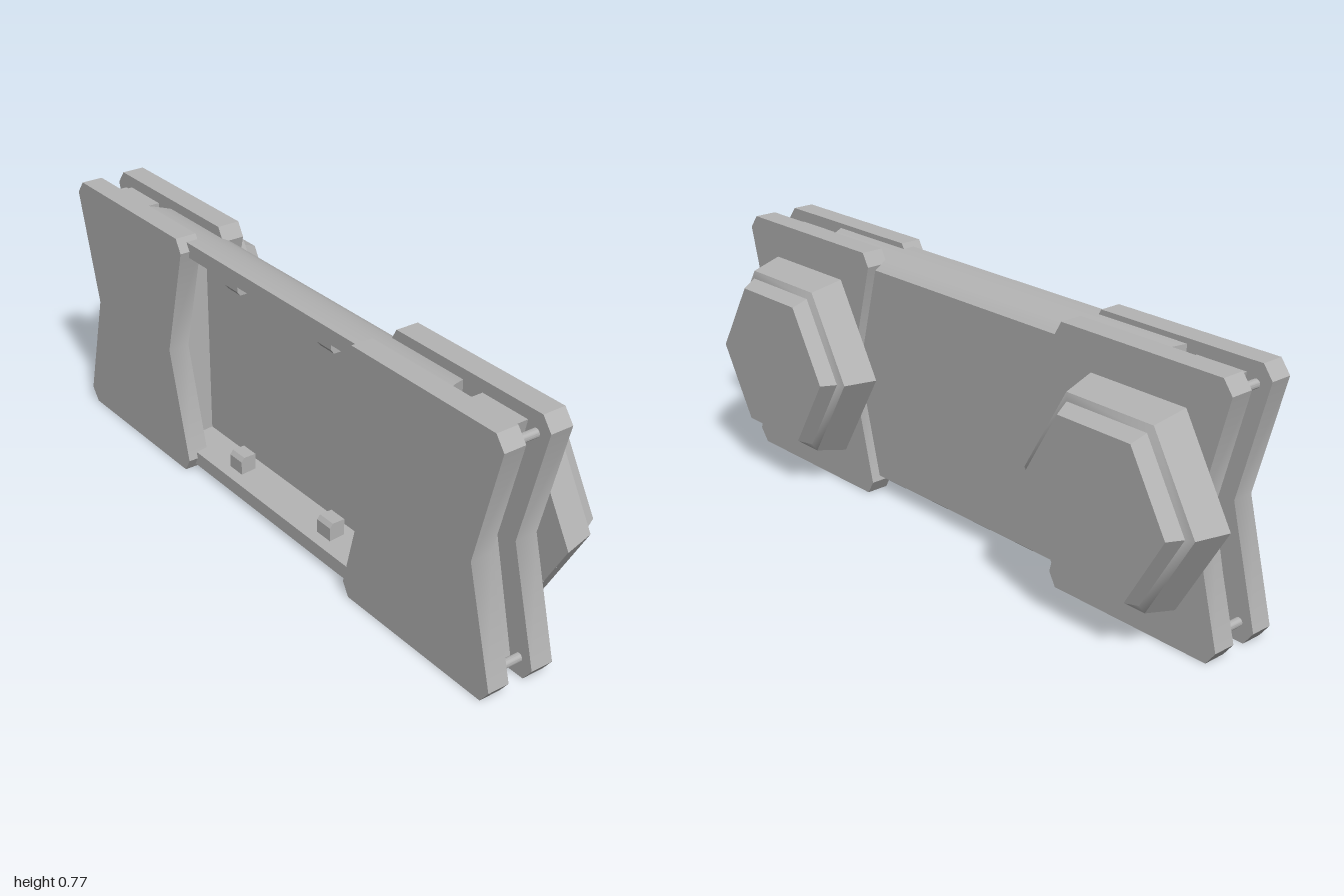
import * as THREE from 'three';
import { toCreasedNormals } from 'three/addons/utils/BufferGeometryUtils.js';

const MID = 0.385; // height of the horizontal symmetry plane
const CREASE = 0.62;

const grey = new THREE.MeshStandardMaterial({ color: 0xb4b4b4 });
grey.name = 'plain grey';

function extrude(points, depth) {
  const shape = new THREE.Shape(points.map(([x, y]) => new THREE.Vector2(x, y)));
  return new THREE.ExtrudeGeometry(shape, { depth, bevelEnabled: false });
}

function part(name, geometry, parent) {
  const mesh = new THREE.Mesh(toCreasedNormals(geometry, CREASE), grey);
  mesh.name = name;
  parent.add(mesh);
  return mesh;
}

// Extrude a (z, y) section along x from x0 to x1
function alongX(section, x0, x1) {
  const g = extrude(section.map(([z, y]) => [-z, y]), x1 - x0);
  g.rotateY(Math.PI / 2);
  g.translate(x0, 0, 0);
  return g;
}

// Slant the outer ends of the body
function slantEnds(g) {
  const p = g.attributes.position;
  for (let i = 0; i < p.count; i++) {
    const x = p.getX(i);
    if (Math.abs(x) > 0.6) p.setX(i, Math.sign(x) * (0.65 + 0.48 * p.getZ(i)));
  }
  return g;
}

const flip = ([a, y]) => [a, 2 * MID - y];

// Close an upper half outline with its mirror image below
const mirrored = (upper) => [...upper, ...upper.map(flip).reverse()];

function addBody(group) {
  const crown = [[0, 0.715], [0.02, 0.73], [0.04, 0.74], [0.08, 0.75], [0.12, 0.755], [0.155, 0.755]];
  const tray = mirrored([...crown, [0.155, 0.71], [0.04, 0.70]]);
  part('bodyTray', slantEnds(alongX(tray, -0.7, 0.7)), group);

  // Solid ends behind the clamp plates
  const full = mirrored([[0.03, 0.72], [0.15, 0.72]]);
  part('leftBodyEnd', slantEnds(alongX(full, 0.48, 0.7)), group);
  part('rightBodyEnd', slantEnds(alongX(full, -0.7, -0.48)), group);

  // Small catches on the inside of both lips
  const clip = [[0.07, 0.72], [0.12, 0.72], [0.12, 0.665], [0.11, 0.652], [0.07, 0.652]];
  for (const x of [-0.227, 0.211]) {
    part('upperClip', alongX(clip, x - 0.03, x + 0.03), group);
    part('lowerClip', alongX(clip.map(flip), x - 0.03, x + 0.03), group);
  }
}

function addClamp(group, side) {
  const clamp = new THREE.Group();
  clamp.name = side > 0 ? 'leftClamp' : 'rightClamp';
  group.add(clamp);
  const at = (points) => points.map(([x, y]) => [side * x, y]);

  // Notched plates, front and back
  const upper = [[0.475, MID], [0.387, 0.73], [0.41, 0.77], [0.948, 0.77], [0.978, 0.73], [0.888, MID]];
  const outline = at([...upper, ...upper.slice(1, -1).map(flip).reverse()]);
  part('frontPlate', extrude(outline, 0.067).translate(0, 0, 0.118), clamp);
  part('backPlate', extrude(outline, 0.07).translate(0, 0, -0.03), clamp);

  // Spacer between the plates
  const spacer = at([[0.74, 0.035], [0.74, 0.735], [0.9, 0.735], [0.82, MID], [0.9, 0.035]]);
  part('spacer', extrude(spacer, 0.084).translate(0, 0, 0.037), clamp);

  // Corner pins
  for (const y of [0.713, 0.057]) {
    const pin = part('cornerPin', new THREE.CylinderGeometry(0.0125, 0.0125, 0.09, 16).rotateX(Math.PI / 2), clamp);
    pin.position.set(side * 0.929, y, 0.08);
  }

  // Stepped hexagonal bolt head on the back
  const profile = [[0.32, 0.02], [0.32, 0.03], [0.294, 0.13], [0.271, 0.14], [0.248, 0.185], [0, 0.185]]
    .map(([r, h]) => new THREE.Vector2(r, h));
  profile.shift();
  const bolt = part('hexBolt', new THREE.LatheGeometry(profile, 6, Math.PI / 2).rotateX(-Math.PI / 2), clamp);
  bolt.position.set(side * 0.68, MID, 0);

  // Flat underside of the bolt head where it overhangs the plate notch
  const base = part('boltBase', new THREE.CylinderGeometry(0.318, 0.318, 0.004, 6, 1, false, Math.PI / 2)
    .rotateX(-Math.PI / 2), clamp);
  base.position.set(side * 0.68, MID, -0.033);
}

export function createModel() {
  const model = new THREE.Group();
  model.name = 'clampedBar';
  addBody(model);
  for (const side of [1, -1]) addClamp(model, side);
  return model;
}
